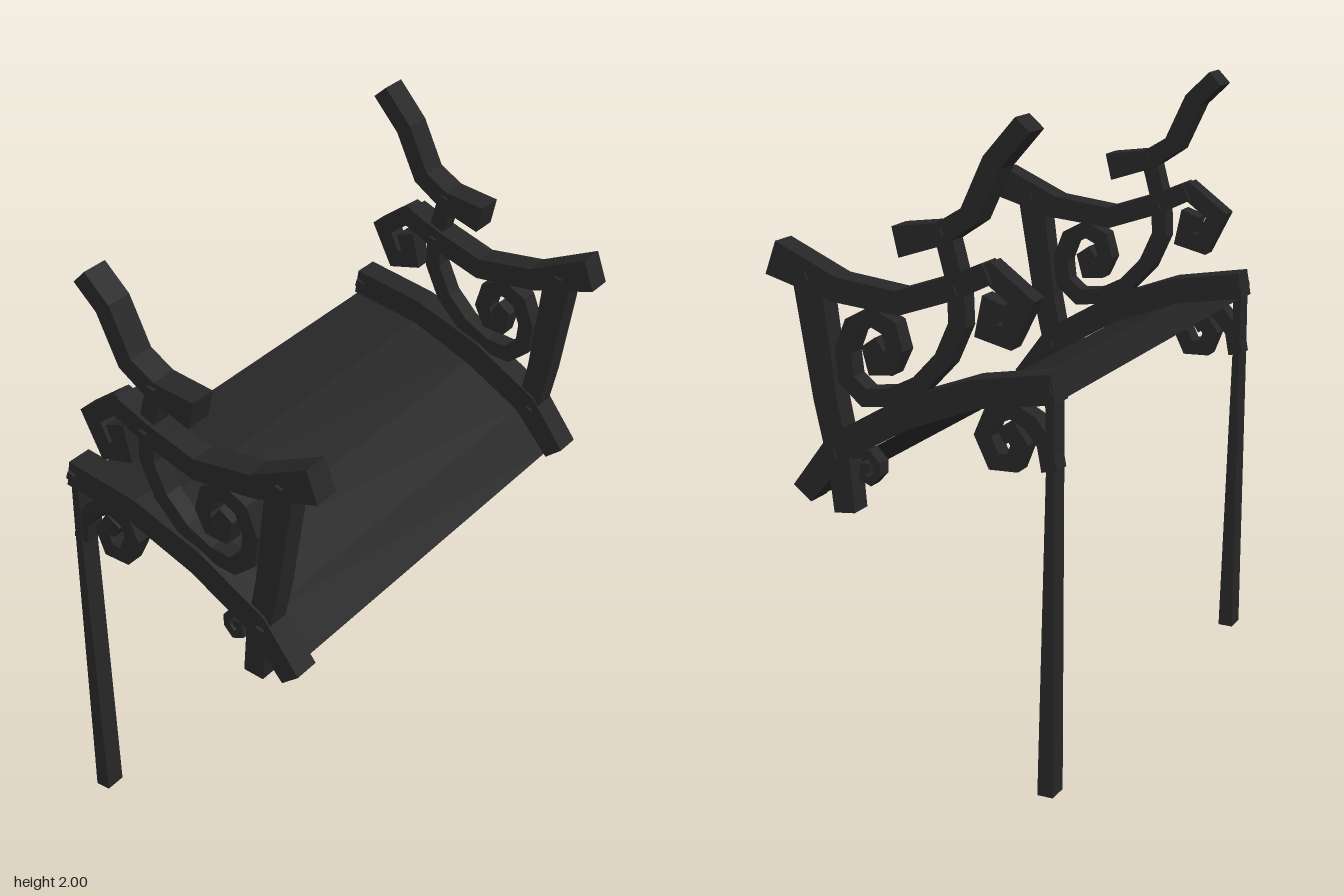
import * as THREE from 'three';

const iron = new THREE.MeshStandardMaterial({ color: 0x262626 });
iron.name = 'black iron';
const sheet = new THREE.MeshStandardMaterial({ color: 0x252525, side: THREE.DoubleSide });
sheet.name = 'dark sheet';

// Flat-sided bar following a path of [x, y, width] points, with mitred corners
function bar(name, path, depth) {
  const h = depth / 2;
  const P = path.map(p => new THREE.Vector2(p[0], p[1]));
  const rings = P.map((p, i) => {
    const a = P[Math.max(i - 1, 0)], b = P[Math.min(i + 1, P.length - 1)];
    const d1 = (i ? p.clone().sub(a) : b.clone().sub(p)).normalize();
    const d2 = (i < P.length - 1 ? b.clone().sub(p) : p.clone().sub(a)).normalize();
    const t = d1.clone().add(d2).normalize();
    const w = path[i][2] / 2 / Math.max(t.dot(d1), 0.6);
    const nx = -t.y * w, ny = t.x * w;
    return [
      [p.x + nx, p.y + ny, h], [p.x + nx, p.y + ny, -h],
      [p.x - nx, p.y - ny, -h], [p.x - nx, p.y - ny, h],
    ];
  });
  const pos = [];
  const quad = (a, b, c, d) => [a, b, c, a, c, d].forEach(v => pos.push(...v));
  for (let i = 0; i < rings.length - 1; i++) {
    for (let j = 0; j < 4; j++) {
      const k = (j + 1) % 4;
      quad(rings[i][j], rings[i + 1][j], rings[i + 1][k], rings[i][k]);
    }
  }
  const s = rings[0], e = rings[rings.length - 1];
  quad(s[0], s[1], s[2], s[3]);
  quad(e[3], e[2], e[1], e[0]);
  const geo = new THREE.BufferGeometry();
  geo.setAttribute('position', new THREE.Float32BufferAttribute(pos, 3));
  geo.computeVertexNormals();
  const mesh = new THREE.Mesh(geo, iron);
  mesh.name = name;
  return mesh;
}

// Same width along the whole path
const even = (w, pts) => pts.map(([x, y]) => [x, y, w]);

function sideFrame(name, tip) {
  const g = new THREE.Group();
  g.name = name;
  g.add(
    bar('post', [[-0.443, 0, 0.05], [-0.456, 1.0, 0.025], [-0.454, 1.23, 0.027]], 0.07),
    bar('roofBeam', [[-0.468, 1.245, 0.088], [-0.22, 1.203, 0.086], [0.015, 1.113, 0.09],
      [0.235, 0.985, 0.088], [0.358, 0.83, 0.075]], 0.088),
    bar('upperBeam', [[0.445, 1.541, 0.108], [0.235, 1.465, 0.075], [0.025, 1.443, 0.07],
      [-0.15, 1.503, 0.07], [-0.262, 1.555, 0.065]], 0.088),
    bar('upperBeamCurl', even(0.058, [[-0.2, 1.53], [-0.265, 1.555], [-0.37, 1.478], [-0.318, 1.374],
      [-0.252, 1.39], [-0.265, 1.452], [-0.3, 1.44]]), 0.065),
    bar('horn', [tip, [-0.28, 1.868, 0.06], [-0.208, 1.714, 0.06],
      [-0.118, 1.656, 0.065], [0.026, 1.622, 0.092]], 0.09),
    bar('strut', [[0.325, 1.47, 0.095], [0.275, 1.13, 0.08], [0.232, 0.93, 0.075], [0.217, 0.785, 0.07]], 0.075),
    // Large scroll sweeping from the horn into a spiral
    bar('largeScroll', even(0.054, [[-0.12, 1.65], [-0.158, 1.51], [-0.162, 1.395], [-0.114, 1.289],
      [-0.034, 1.204], [0.06, 1.156], [0.145, 1.146], [0.204, 1.194], [0.214, 1.279], [0.183, 1.358],
      [0.12, 1.392], [0.06, 1.364], [0.042, 1.3], [0.066, 1.25], [0.108, 1.246], [0.12, 1.289], [0.09, 1.31]]), 0.062),
    bar('braceScroll', even(0.05, [[-0.452, 1.0], [-0.437, 1.08], [-0.392, 1.135], [-0.33, 1.167],
      [-0.266, 1.14], [-0.241, 1.082], [-0.277, 1.008], [-0.336, 1.01], [-0.358, 1.066],
      [-0.331, 1.105], [-0.3, 1.085]]), 0.062),
    bar('smallScroll', even(0.024, [[0.2, 0.965], [0.14, 0.974], [0.112, 0.945], [0.112, 0.915],
      [0.135, 0.89], [0.16, 0.9], [0.157, 0.932], [0.135, 0.932]]), 0.05)
  );
  // Square bolts through each joint
  for (const [x, y] of [[-0.114, 1.658], [-0.156, 1.496], [0.333, 1.492], [0.251, 0.966], [-0.452, 1.242]]) {
    const bolt = new THREE.Mesh(new THREE.BoxGeometry(0.026, 0.026, 0.11), iron);
    bolt.name = 'bolt';
    bolt.position.set(x, y, 0);
    bolt.rotation.z = -0.3;
    g.add(bolt);
  }
  return g;
}

// Thin curved sheet spanning the two frames
function canopy() {
  const line = [[-0.466, 1.2], [-0.225, 1.16], [0, 1.07], [0.2, 0.95], [0.32, 0.815]];
  const geo = new THREE.PlaneGeometry(1, 1, line.length - 1, 1);
  const p = geo.attributes.position;
  for (let i = 0; i < p.count; i++) {
    const [x, y] = line[i % line.length];
    p.setXYZ(i, x, y, i < line.length ? -0.76 : 0.76);
  }
  const flat = geo.toNonIndexed();
  flat.computeVertexNormals();
  const mesh = new THREE.Mesh(flat, sheet);
  mesh.name = 'canopySheet';
  return mesh;
}

export function createModel() {
  const model = new THREE.Group();
  model.name = 'canopyFrame';
  const front = sideFrame('frontFrame', [-0.36, 1.945, 0.06]);
  const back = sideFrame('backFrame', [-0.376, 1.978, 0.06]);
  front.position.z = 0.759;
  back.position.z = -0.755;
  model.add(front, back, canopy());
  return model;
}
